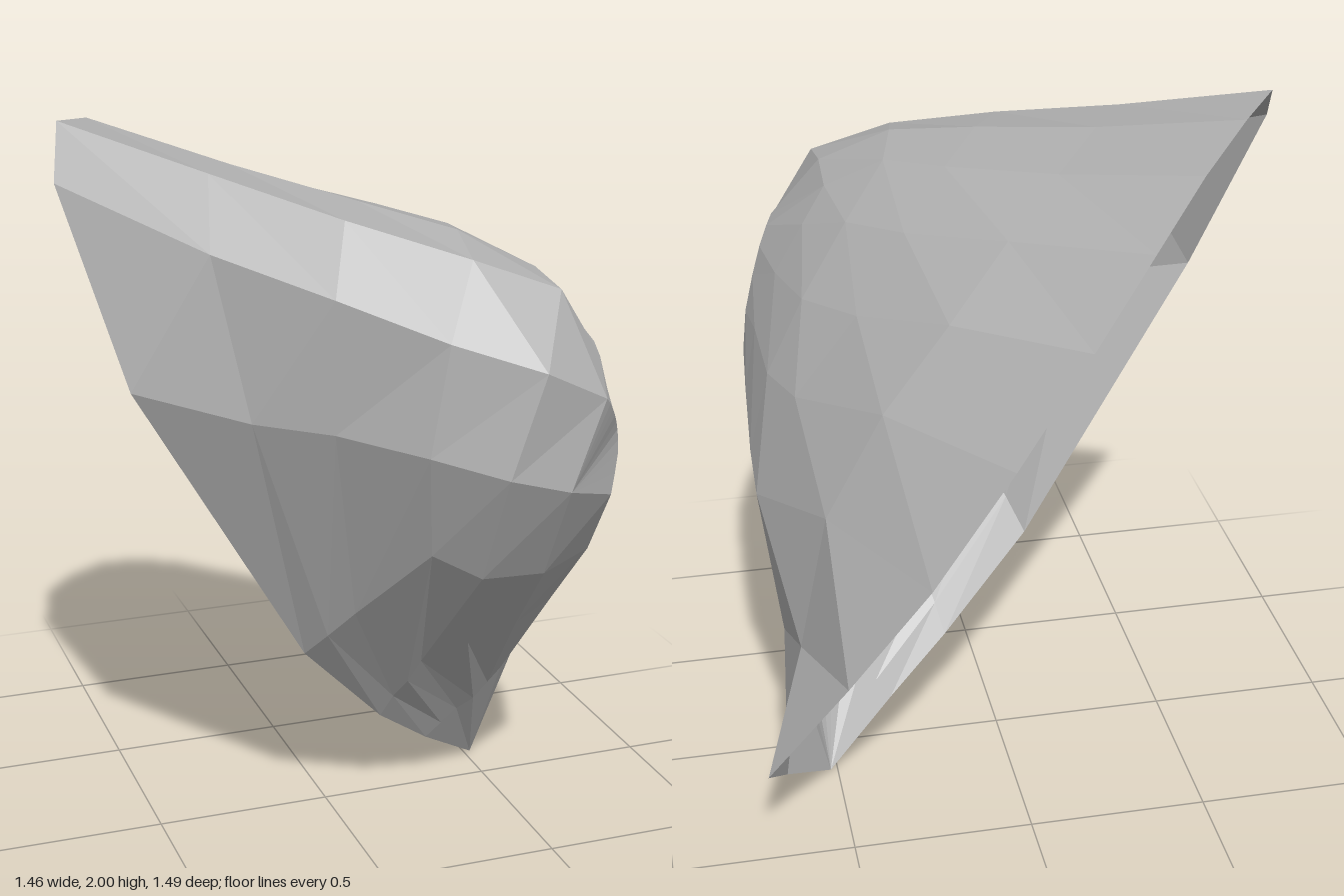
import * as THREE from 'three';

const V = (p) => new THREE.Vector3(...p);

// Skin a list of equal-length cross-sections with flat facets, skipping collapsed ones
function loft(rows) {
  const pos = [];
  const tri = (a, b, c) => {
    const n = b.clone().sub(a).cross(c.clone().sub(a));
    if (n.length() > 1e-6) [a, b, c].forEach((p) => pos.push(p.x, p.y, p.z));
  };
  for (let r = 0; r < rows.length - 1; r++) {
    for (let j = 0; j < rows[r].length - 1; j++) {
      const a = rows[r][j], b = rows[r + 1][j], c = rows[r][j + 1], d = rows[r + 1][j + 1];
      tri(a, b, c);
      tri(c, b, d);
    }
  }
  const g = new THREE.BufferGeometry();
  g.setAttribute('position', new THREE.Float32BufferAttribute(pos, 3));
  g.computeVertexNormals();
  return g;
}

// Ten-point arch through six key points (keys sit at 0, 1, 3, 5, 7, 9)
function arch(keys) {
  const curve = new THREE.CatmullRomCurve3(keys.map(V), false, 'catmullrom', 0.5);
  return Array.from({ length: 10 }, (_, j) => curve.getPoint(j ? (j + 1) / 10 : 0));
}

export function createModel() {
  const group = new THREE.Group();
  const grey = new THREE.MeshStandardMaterial({ color: 0xb0b0b0, flatShading: true, side: THREE.DoubleSide });
  grey.name = 'plain grey';
  const add = (name, rows) => {
    const mesh = new THREE.Mesh(loft(rows), grey);
    mesh.name = name;
    group.add(mesh);
  };

  // Arches from the open back rim forward to the nose
  const arches = [
    [[-.73, 1.87, -.01], [-.68, 2, -.185], [-.42, 1.9, -.485], [-.1, 1.55, -.69], [.31, .96, -.74], [.73, .33, -.575]],
    [[-.4, 1.72, .27], [-.35, 1.89, .09], [-.12, 1.82, -.2], [.2, 1.52, -.4], [.53, 1, -.4], [.66, .14, -.32]],
    [[-.14, 1.63, .48], [-.07, 1.8, .35], [.13, 1.77, .04], [.4, 1.45, -.15], [.68, .9, -.06], [.52, 0, -.14]],
    [[.1, 1.54, .65], [.2, 1.72, .54], [.27, 1.74, .2], [.52, 1.42, .05], [.68, .96, .08], [.56, .4, .05]],
    [[.32, 1.47, .745], [.42, 1.64, .59], [.42, 1.64, .3], [.57, 1.41, .26], [.67, 1.06, .27], [.585, .66, .26]],
    [[.5, 1.38, .71], [.53, 1.46, .6], [.57, 1.47, .46], [.62, 1.34, .42], [.66, 1.12, .4], [.6, .87, .44]],
    [[.5, 1.38, .71], [.52, 1.36, .69], [.56, 1.31, .64], [.6, 1.25, .58], [.61, 1.18, .57], [.58, 1.08, .6]],
  ].map(arch);
  add('shell', arches);

  // Upright lip below the crown crease
  const lipTop = arches.slice(0, 6).map((a) => a[0]);
  const lipLow = [[-.6, 1.36, .21], [-.32, 1.29, .35], [-.14, 1.28, .48], [.05, 1.25, .65],
    [.23, 1.2, .74], [.4, 1.15, .735]].map(V);
  add('lip', [lipTop, lipLow]);

  // Nose facets closing the front
  const nose = arches[6];
  add('nose', [nose, nose.map(() => lipLow[5])]);

  // Belly narrowing down to the bottom tip
  const tip = V([.52, 0, -.14]);
  add('belly', [
    [...lipLow, nose[9]],
    [[-.12, .55, .17], [-.08, .63, .25], [-.03, .72, .33], [.1, .95, .55], [.23, .88, .58], [.41, .87, .57], [.6, .87, .44]].map(V),
    [[.14, .28, .08], [.16, .36, .13], [.18, .43, .19], [.2, .51, .24], [.31, .58, .31], [.43, .64, .36], [.585, .66, .26]].map(V),
    [[.32, .14, -.01], [.36, .19, .01], [.4, .24, .03], [.44, .28, .06], [.48, .33, .07], [.52, .37, .07], [.56, .4, .05]].map(V),
    Array(7).fill(tip),
  ]);
  return group;
}
